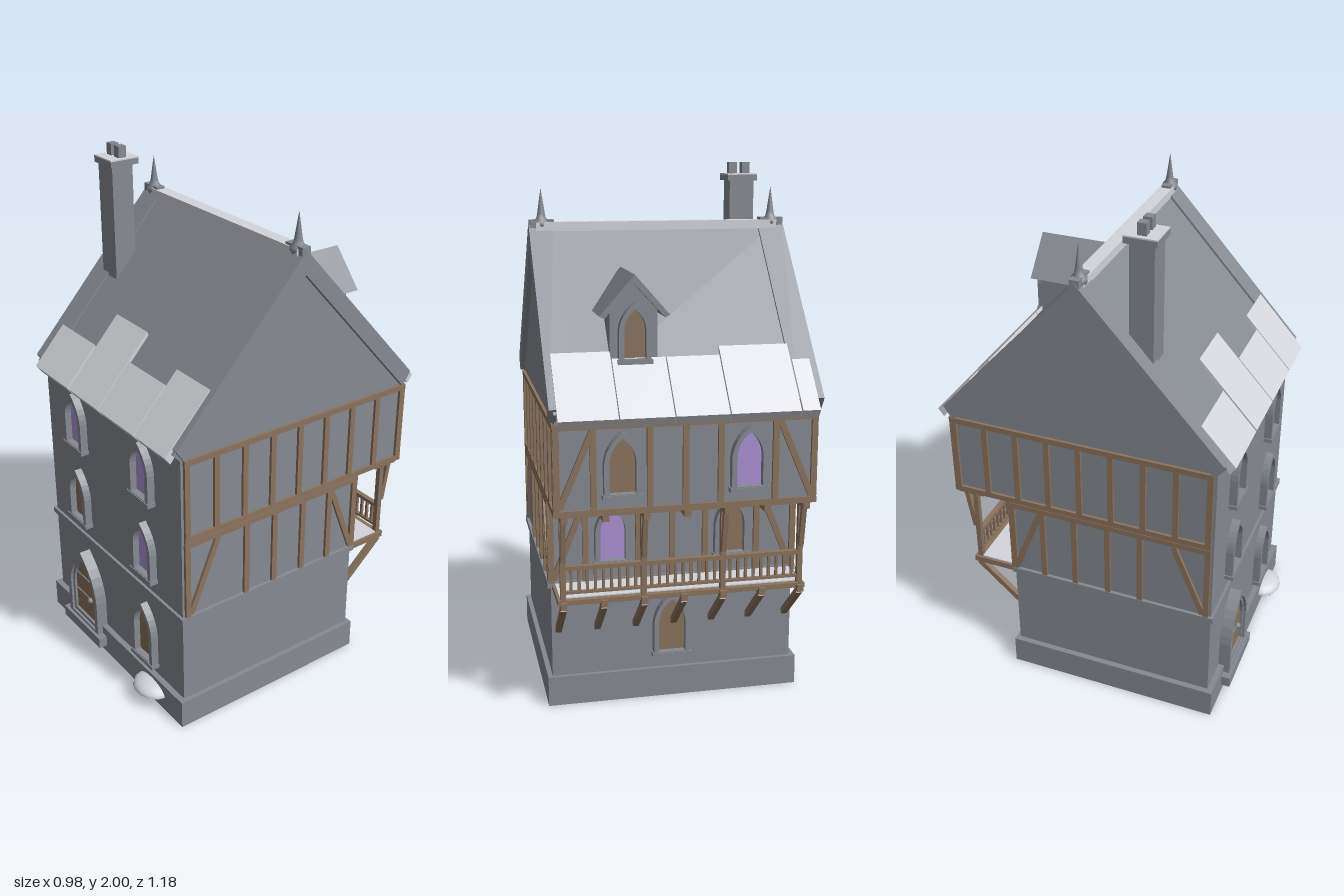
import * as THREE from 'three';

const flat = (name, color) => {
  const m = new THREE.MeshStandardMaterial({ color });
  m.name = name;
  return m;
};

export function createModel() {
  const stone = flat('stone grey', 0x868a91);
  const snow = flat('snow white', 0xd4d5db);
  const wood = flat('timber brown', 0x8a745e);
  const glass = flat('violet glass', 0xac93d4);
  const root = new THREE.Group();
  root.name = 'townhouse';

  const add = (name, geo, mat, parent = root) => {
    const m = new THREE.Mesh(geo, mat);
    m.name = name;
    parent.add(m);
    return m;
  };
  // box given by its min and max on each axis
  const box = (name, mat, x0, x1, y0, y1, z0, z1, parent = root) => {
    const m = add(name, new THREE.BoxGeometry(x1 - x0, y1 - y0, z1 - z0), mat, parent);
    m.position.set((x0 + x1) / 2, (y0 + y1) / 2, (z0 + z1) / 2);
    return m;
  };
  // square bar between two points
  const beam = (name, a, b, t, mat = wood) => {
    const p = new THREE.Vector3(...a), q = new THREE.Vector3(...b);
    const m = add(name, new THREE.BoxGeometry(t, t, p.distanceTo(q)), mat);
    m.position.copy(p).lerp(q, 0.5);
    m.lookAt(q);
    return m;
  };
  // outline in [z, y], extruded along x
  const prismX = (name, mat, pts, x0, x1) => {
    const shape = new THREE.Shape(pts.map(([z, y]) => new THREE.Vector2(-z, y)));
    const geo = new THREE.ExtrudeGeometry(shape, { depth: x1 - x0, bevelEnabled: false });
    geo.rotateY(Math.PI / 2).translate(x0, 0, 0);
    return add(name, geo, mat);
  };

  // walls
  box('plinth', stone, -0.487, 0.483, 0, 0.115, -0.325, 0.52);
  box('lowerWalls', stone, -0.465, 0.465, 0.1, 0.82, -0.31, 0.497);
  box('stringCourse', stone, -0.478, 0.478, 0.47, 0.492, -0.318, 0.508);
  const ridgeZ = -0.013;
  prismX('upperWallsAndGables', stone,
    [[0.497, 0.81], [0.497, 1.15], [ridgeZ, 1.73], [-0.53, 1.15], [-0.53, 0.81]], -0.465, 0.465);

  // roof slopes, raised verges and ridge
  const slope = z => 1.775 - 1.1 * Math.abs(z - ridgeZ);
  const chevron = (lift, f, b) => [[f, slope(f) + lift], [ridgeZ, 1.775 + lift], [b, slope(b) + lift],
    [b + 0.035, slope(b) - 0.04], [ridgeZ, 1.7], [f - 0.035, slope(f) - 0.04]];
  prismX('roof', stone, chevron(0, 0.53, -0.555), -0.47, 0.47);
  prismX('leftVerge', stone, chevron(0.012, 0.525, -0.55), 0.39, 0.485);
  prismX('rightVerge', stone, chevron(0.012, 0.525, -0.55), -0.49, -0.39);
  box('ridgeSnow', snow, -0.46, 0.46, 1.755, 1.788, -0.04, 0.01);

  // snow slabs along the eaves: [x0, x1, upper z, eave z]
  [[-0.445, -0.2, 0.425, 0.555], [-0.19, 0.018, 0.33, 0.555], [0.023, 0.26, 0.415, 0.555],
    [0.265, 0.46, 0.37, 0.555], [-0.465, -0.4, -0.445, -0.588], [-0.395, -0.142, -0.4, -0.588],
    [-0.138, 0.053, -0.425, -0.588], [0.057, 0.248, -0.425, -0.588], [0.252, 0.46, -0.405, -0.588],
  ].forEach(([x0, x1, zu, ze]) => {
    const s = Math.sign(zu);
    prismX('eaveSnow', snow, s > 0
      ? [[ze, slope(ze) + 0.02], [zu, slope(zu) + 0.02], [zu - 0.01, slope(zu) - 0.005], [ze - 0.022, slope(ze) - 0.01]]
      : [[zu + 0.01, slope(zu) - 0.005], [zu, slope(zu) + 0.02], [ze, slope(ze) + 0.02], [ze + 0.022, slope(ze) - 0.01]],
    x0, x1);
  });

  // finials
  const finialPts = [[0, 1.755], [0.02, 1.76], [0.03, 1.775], [0.03, 1.788], [0.018, 1.803],
    [0.014, 1.82], [0.008, 1.86], [0, 1.912]].map(p => new THREE.Vector2(...p));
  for (const x of [-0.442, 0.437]) {
    add('finial', new THREE.LatheGeometry(finialPts, 8), stone).position.set(x, 0, ridgeZ);
    box('finialSaddle', stone, x - 0.045, x + 0.045, 1.75, 1.797, ridgeZ - 0.018, ridgeZ + 0.018);
  }

  // chimney
  box('chimneyStack', stone, -0.425, -0.328, 1.49, 1.94, 0.155, 0.243);
  box('chimneyCap', stone, -0.433, -0.315, 1.93, 1.952, 0.136, 0.255);
  box('chimneySnow', snow, -0.433, -0.315, 1.952, 1.957, 0.136, 0.255);
  for (const x of [-0.399, -0.347]) box('chimneyPot', stone, x - 0.016, x + 0.016, 1.955, 2, 0.179, 0.211);

  // pointed arch outline standing on y0
  const arch = (Cls, w, y0, h) => {
    const s = new Cls(), a = w / 2, ys = y0 + h - w * 0.85;
    s.moveTo(-a, y0);
    s.lineTo(a, y0);
    s.lineTo(a, ys);
    s.quadraticCurveTo(a * 0.92, ys + w * 0.5, 0, y0 + h);
    s.quadraticCurveTo(-a * 0.92, ys + w * 0.5, -a, ys);
    return s;
  };
  const frame = (name, w, h, rim, sill, depth, parent) => {
    const outer = arch(THREE.Shape, w, 0, h);
    outer.holes.push(arch(THREE.Path, w - 2 * rim, sill, h - sill - rim * 1.2));
    add(name, new THREE.ExtrudeGeometry(outer, { depth, bevelEnabled: false, curveSegments: 6 }), stone, parent);
  };
  const opening = (name, x, y, z, back, mat, w = 0.132, h = 0.235) => {
    const g = new THREE.Group();
    g.name = name;
    g.position.set(x, y, z);
    if (back) g.rotation.y = Math.PI;
    frame('windowFrame', w, h, 0.019, 0.015, 0.03, g);
    box('windowSill', stone, -w / 2 - 0.005, w / 2 + 0.005, -0.004, 0.012, 0, 0.034, g);
    add('windowPane', new THREE.ShapeGeometry(arch(THREE.Shape, w - 0.03, 0.01, h - 0.025), 6), mat, g).position.z = 0.004;
    root.add(g);
  };
  const F = 0.497;
  opening('upperFrontWindow', -0.236, 0.887, F, false, glass);
  opening('upperFrontWindow', 0.233, 0.887, F, false, glass);
  opening('middleFrontWindow', -0.236, 0.553, F, false, wood);
  opening('middleFrontWindow', 0.233, 0.553, F, false, glass);
  opening('lowerFrontWindow', 0.222, 0.155, F, false, wood, 0.14, 0.265);
  opening('upperBackWindow', 0.235, 0.875, -0.53, true, wood);
  opening('upperBackWindow', -0.22, 0.875, -0.53, true, glass);
  opening('middleBackWindow', 0.235, 0.553, -0.31, true, glass);
  opening('middleBackWindow', -0.22, 0.553, -0.31, true, wood);
  opening('lowerBackWindow', 0.01, 0.17, -0.31, true, wood, 0.14, 0.25);

  // door with two nested arches
  const door = new THREE.Group();
  door.name = 'door';
  door.position.set(-0.207, 0.07, F);
  root.add(door);
  frame('outerDoorArch', 0.228, 0.352, 0.022, 0.02, 0.046, door);
  frame('innerDoorArch', 0.19, 0.325, 0.017, 0.035, 0.036, door);
  add('doorLeaf', new THREE.ShapeGeometry(arch(THREE.Shape, 0.17, 0.03, 0.28), 6), wood, door).position.z = 0.026;
  for (const y of [0.13, 0.215]) box('doorHinge', stone, -0.07, 0.03, y, y + 0.007, 0.024, 0.03, door);
  add('doorKnob', new THREE.SphereGeometry(0.013, 8, 6), stone, door).position.set(0.037, 0.13, 0.03);
  box('doorStep', stone, -0.35, -0.064, 0.035, 0.08, 0.49, 0.555);
  const drift = add('snowDrift', new THREE.SphereGeometry(1, 14, 5, 0, Math.PI * 2, 0, Math.PI / 2), snow);
  drift.scale.set(0.09, 0.04, 0.075);
  drift.position.set(0.277, 0.06, 0.515);
  box('snowDriftBase', snow, 0.21, 0.34, 0.057, 0.061, 0.51, 0.57);

  // timber framing on both sides
  for (const x of [-0.465, 0.465]) {
    const t = 0.022;
    const bar = (z0, y0, z1, y1) => beam('sideTimber', [x, y0, z0], [x, y1, z1], t);
    for (let i = 0; i < 9; i++) bar(0.475 - i * 0.125, 0.82, 0.475 - i * 0.125, 1.13);
    for (const z of [0.477, 0.215, 0.085, -0.05, -0.18, -0.306]) bar(z, 0.49, z, 0.8);
    bar(0.487, 1.13, -0.535, 1.13);
    bar(0.487, 0.822, -0.535, 0.822);
    bar(0.487, 0.798, -0.315, 0.798);
    bar(0.465, 0.5, 0.345, 0.785);
    bar(-0.19, 0.785, -0.3, 0.5);
  }

  // timber framing on the back
  const backBar = (x0, y0, x1, y1, z) => beam('backTimber', [x0, y0, z], [x1, y1, z], 0.022);
  for (const x of [-0.463, -0.32, -0.12, 0.007, 0.135, 0.335, 0.463]) {
    backBar(x, 0.82, x, 1.13, -0.53);
    backBar(x, 0.49, x, 0.8, -0.31);
  }
  for (const y of [0.822, 1.13]) backBar(-0.475, y, 0.475, y, -0.53);
  backBar(-0.475, 0.798, 0.475, 0.798, -0.31);
  for (const s of [-1, 1]) {
    backBar(s * 0.455, 0.5, s * 0.34, 0.785, -0.31);
    backBar(s * 0.455, 0.84, s * 0.335, 1.12, -0.53);
  }

  // balcony
  box('balconyFloor', wood, -0.46, 0.46, 0.465, 0.483, -0.485, -0.31);
  box('balconySnow', snow, -0.45, 0.45, 0.483, 0.487, -0.462, -0.315);
  for (let i = 0; i < 7; i++) {
    const x = -0.44 + i * 0.88 / 6;
    box('balconyJoist', wood, x - 0.012, x + 0.012, 0.452, 0.478, -0.498, -0.31);
    beam('balconyBrace', [x, 0.3, -0.31], [x, 0.452, -0.48], 0.022);
    box('overhangJoist', wood, x - 0.012, x + 0.012, 0.787, 0.812, -0.54, -0.435);
  }
  for (const x of [-0.44, -0.147, 0.147, 0.44]) {
    box('balconyPost', wood, x - 0.01, x + 0.01, 0.48, 0.812, -0.483, -0.463);
    beam('postBrace', [x, 0.63, -0.485], [x, 0.795, -0.512], 0.018);
  }
  box('balconyTopBeam', wood, -0.46, 0.46, 0.79, 0.81, -0.483, -0.463);
  box('balconyHandrail', wood, -0.45, 0.45, 0.595, 0.61, -0.483, -0.463);
  box('balconyBottomRail', wood, -0.45, 0.45, 0.505, 0.515, -0.48, -0.466);
  for (let i = 1; i < 30; i++) {
    const x = -0.44 + i * 0.88 / 30;
    box('baluster', wood, x - 0.005, x + 0.005, 0.51, 0.6, -0.478, -0.468);
  }

  // dormer on the back slope
  const dx = 0.167;
  const gable = (name, pts, z0, z1) => {
    const s = new THREE.Shape(pts.map(([x, y]) => new THREE.Vector2(x + dx, y)));
    add(name, new THREE.ExtrudeGeometry(s, { depth: z1 - z0, bevelEnabled: false }).translate(0, 0, z0), stone);
  };
  gable('dormerWalls', [[-0.085, 1.31], [0.085, 1.31], [0.085, 1.52], [0, 1.61], [-0.085, 1.52]], -0.41, -0.17);
  gable('dormerRoof', [[-0.125, 1.49], [-0.107, 1.482], [0, 1.598], [0.107, 1.482], [0.125, 1.49], [0, 1.632]], -0.435, -0.155);
  opening('dormerWindow', dx, 1.325, -0.41, true, wood, 0.115, 0.21);

  return root;
}
